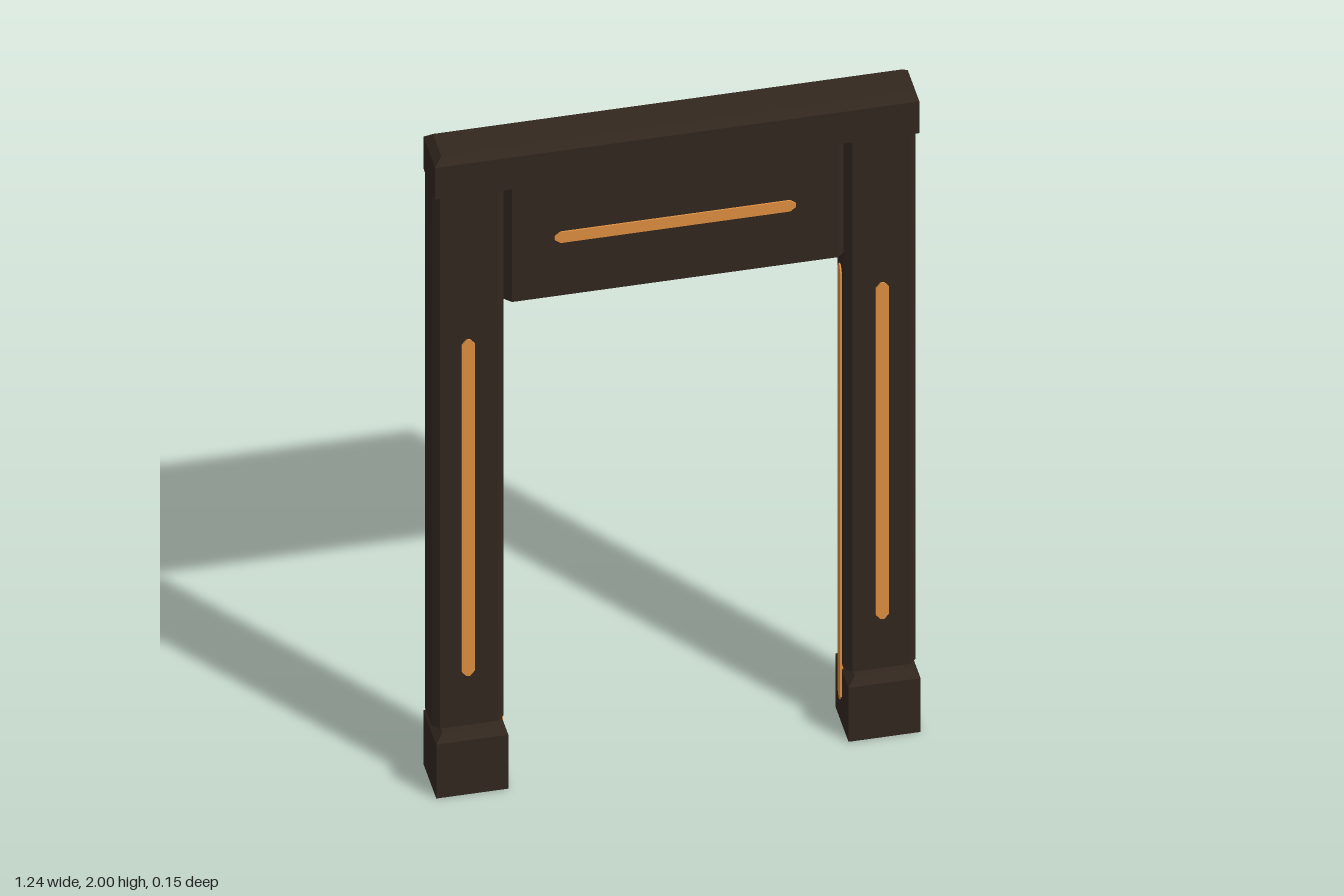
import * as THREE from 'three';

const BEVEL = 0.02;
const BACK = -0.073, FRONT = 0.036; // depth of posts and panel
const MID = (BACK + FRONT) / 2;

const dark = new THREE.MeshStandardMaterial({ color: 0x32271f, flatShading: true });
const glow = new THREE.MeshStandardMaterial({ color: 0xe09040, flatShading: true });

function add(parent, name, geometry, material) {
  const mesh = new THREE.Mesh(geometry, material);
  mesh.name = name;
  parent.add(mesh);
  return mesh;
}

// Block whose top edges are bevelled on all four sides
function cappedBlock(x0, x1, y0, y1, z0, z1) {
  const w = x1 - x0, h = y1 - y0, d = z1 - z0;
  const geometry = new THREE.BoxGeometry(w, h, d, 1, 2, 1);
  const p = geometry.attributes.position;
  for (let i = 0; i < p.count; i++) {
    const y = p.getY(i);
    if (Math.abs(y) < 1e-6) p.setY(i, h / 2 - BEVEL);
    else if (y > 0) {
      p.setX(i, Math.sign(p.getX(i)) * (w / 2 - BEVEL));
      p.setZ(i, Math.sign(p.getZ(i)) * (d / 2 - BEVEL));
    }
  }
  geometry.translate((x0 + x1) / 2, (y0 + y1) / 2, (z0 + z1) / 2);
  const flat = geometry.toNonIndexed();
  flat.computeVertexNormals();
  return flat;
}

// Upright prism with its four vertical edges bevelled
function bevelledPrism(x0, x1, y0, y1, z0, z1) {
  const b = 0.018;
  const outline = [
    [x0 + b, z0], [x1 - b, z0], [x1, z0 + b], [x1, z1 - b],
    [x1 - b, z1], [x0 + b, z1], [x0, z1 - b], [x0, z0 + b],
  ].map(([x, z]) => new THREE.Vector2(x, -z));
  const geometry = new THREE.ExtrudeGeometry(new THREE.Shape(outline), { depth: y1 - y0, bevelEnabled: false });
  return geometry.rotateX(-Math.PI / 2).translate(0, y0, 0);
}

// Thin upright light bar with pointed ends, centred at the origin, facing +z
function lightBar(length, width = 0.034, thickness = 0.008) {
  const l = length / 2, w = width / 2, tip = 0.015, n = 0.005;
  const outline = [
    [w, -l + tip], [w, l - tip], [n, l], [-n, l],
    [-w, l - tip], [-w, -l + tip], [-n, -l], [n, -l],
  ].map(([x, y]) => new THREE.Vector2(x, y));
  return new THREE.ExtrudeGeometry(new THREE.Shape(outline), { depth: thickness, bevelEnabled: false })
    .translate(0, 0, -thickness / 2);
}

export function createModel() {
  const model = new THREE.Group();
  model.name = 'doorFrame';

  // Legs: foot, post, front light and inner light on each side
  for (const side of [-1, 1]) {
    const leg = new THREE.Group();
    leg.name = side > 0 ? 'leftLeg' : 'rightLeg';
    const [x0, x1] = side > 0 ? [0.437, 0.622] : [-0.622, -0.437];
    add(leg, 'foot', cappedBlock(x0, x1, 0, 0.19, BACK, 0.073), dark);
    add(leg, 'post', bevelledPrism(x0, x1, 0.19, 1.88, BACK, FRONT), dark);
    add(leg, 'frontLight', lightBar(1.06), glow).position.set(side * 0.532, 0.877, FRONT);
    const inner = add(leg, 'innerLight', lightBar(1.37, 0.03), glow);
    inner.rotation.y = -side * Math.PI / 2;
    inner.position.set(side * 0.437, 0.755, MID);
    model.add(leg);
  }

  // Head panel between the posts, with lights on its front and underside
  add(model, 'headPanel', bevelledPrism(-0.437, 0.437, 1.505, 1.88, BACK, FRONT), dark);
  const headLight = add(model, 'headLight', lightBar(0.62), glow);
  headLight.rotation.z = Math.PI / 2;
  headLight.position.set(0, 1.69, FRONT);
  const underLight = add(model, 'underLight', lightBar(0.81, 0.03), glow);
  underLight.rotation.set(Math.PI / 2, 0, Math.PI / 2);
  underLight.position.set(0, 1.505, MID);

  // Lintel across the top
  add(model, 'lintel', cappedBlock(-0.622, 0.622, 1.88, 2, BACK, 0.06), dark);

  return model;
}
